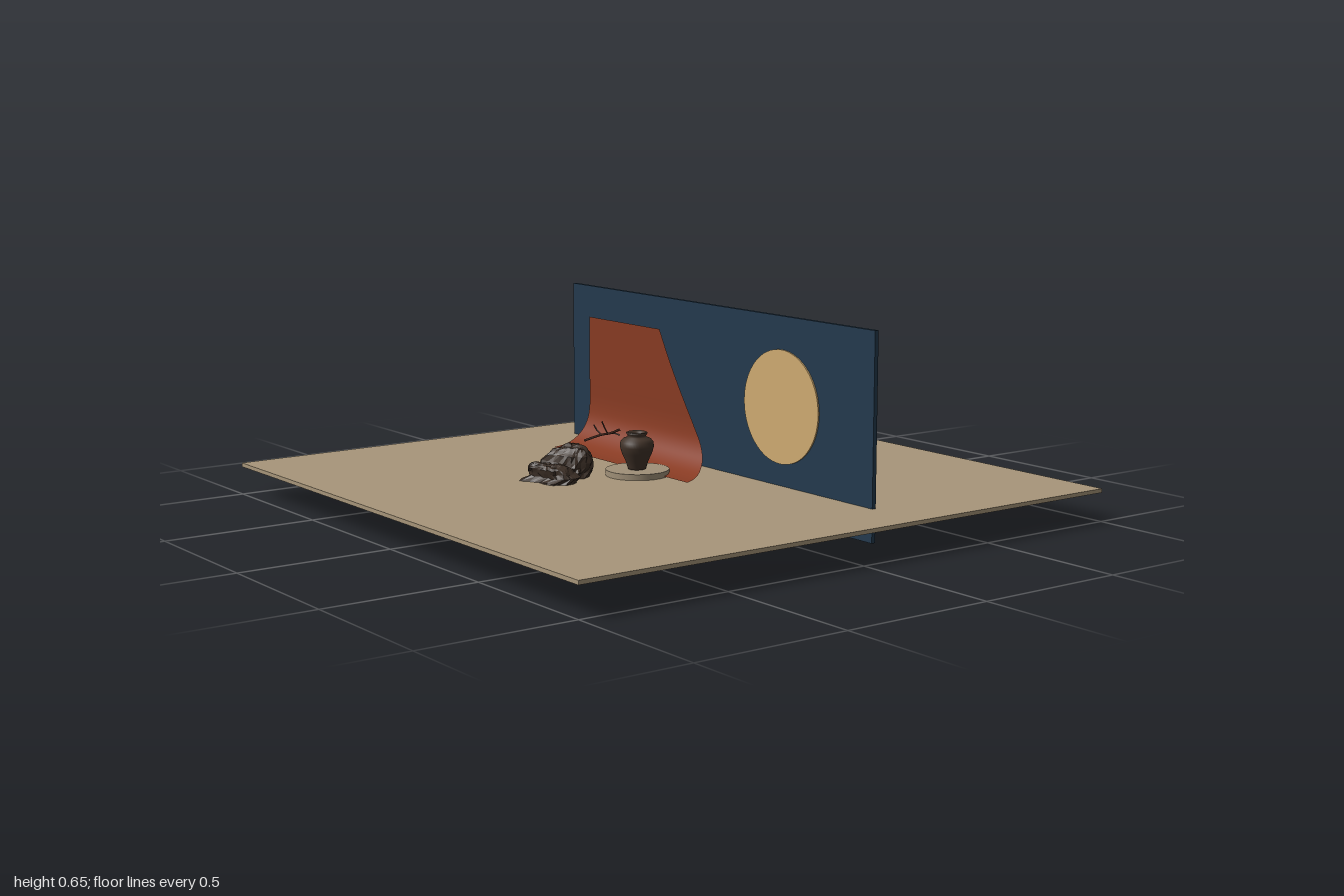
import * as THREE from 'three';

const V = (x, y, z) => new THREE.Vector3(x, y, z);

function material(name, color, extra = {}) {
  const m = new THREE.MeshStandardMaterial({ color, ...extra });
  m.name = name;
  return m;
}

// Smooth repeatable bumpiness, roughly -1..1
const bump = (x, y, z) =>
  0.5 * Math.sin(47 * x + 31 * y + 1) * Math.cos(53 * z - 23 * y) +
  0.3 * Math.sin(131 * x - 97 * z + 71 * y) +
  0.2 * Math.sin(211 * y + 173 * z + 2);

// Craggy rock: an outline [x, z] stacked in levels [y, scale, shiftX, shiftZ]
function rockGeometry(outline, levels, cx, cz) {
  const sides = 32, rings = 14;
  const ring = new THREE.CatmullRomCurve3(outline.map(([x, z]) => V(x - cx, 0, z - cz)), true, 'centripetal');
  const rise = new THREE.CatmullRomCurve3(levels.map(([y, s]) => V(s, y, 0)));
  const shift = new THREE.CatmullRomCurve3(levels.map(([, , sx, sz]) => V(sx, 0, sz)));
  const pos = [], index = [];
  for (let j = 0; j <= rings; j++) {
    const t = j / rings, r = rise.getPoint(t), s = shift.getPoint(t);
    for (let i = 0; i < sides; i++) {
      const p = ring.getPoint(i / sides);
      const x = cx + p.x * r.x + s.x, z = cz + p.z * r.x + s.z;
      const k = 1 + 0.16 * bump(x, r.y, z);
      pos.push(cx + s.x + (x - cx - s.x) * k, r.y + 0.012 * t * bump(z, x, r.y), cz + s.z + (z - cz - s.z) * k);
      if (j < rings) {
        const a = j * sides + i, b = j * sides + (i + 1) % sides;
        index.push(a, a + sides, b, b, a + sides, b + sides);
      }
    }
  }
  // Close bottom and top
  const base = pos.length / 3, last = levels[levels.length - 1];
  pos.push(cx + levels[0][2], levels[0][0], cz + levels[0][3], cx + last[2], last[0], cz + last[3]);
  for (let i = 0; i < sides; i++) {
    const n = (i + 1) % sides, top = rings * sides;
    index.push(base, i, n, base + 1, top + n, top + i);
  }
  const g = new THREE.BufferGeometry();
  g.setAttribute('position', new THREE.Float32BufferAttribute(pos, 3));
  g.setIndex(index);
  g.computeVertexNormals();
  return g;
}

export function createModel() {
  const group = new THREE.Group();
  const sand = material('sand', 0xa8967a);
  const stone = material('plate stone', 0xa09078);
  const navy = material('navy', 0x243a4e);
  const gold = material('gold', 0xcfab72);
  const rust = material('rust cloth', 0x883b23, { side: THREE.DoubleSide });
  const clay = material('dark clay', 0x42342a, { side: THREE.DoubleSide });
  const rock = material('rock', 0x3c2f26, { flatShading: true, side: THREE.DoubleSide });
  const bark = material('bark', 0x3a2118);

  const add = (name, geometry, mat, x = 0, y = 0, z = 0) => {
    const mesh = new THREE.Mesh(geometry, mat);
    mesh.name = name;
    mesh.position.set(x, y, z);
    group.add(mesh);
    return mesh;
  };

  add('floor', new THREE.BoxGeometry(2, 0.013, 2), sand, 0, 0.1, 0);
  add('backWall', new THREE.BoxGeometry(1.6, 0.65, 0.014), navy, 0, 0.325, -0.216);
  add('goldDisc', new THREE.CylinderGeometry(0.183, 0.183, 0.006, 64), gold, 0.367, 0.361, -0.207)
    .rotation.x = Math.PI / 2;

  // Draped cloth: each row is [right edge x, y, z], from top to floor
  const edge = new THREE.CatmullRomCurve3([
    [-0.19, 0.555, -0.14], [-0.13, 0.45, -0.14], [-0.065, 0.35, -0.14], [0.005, 0.25, -0.14],
    [0.05, 0.2, -0.131], [0.09, 0.16, -0.108], [0.125, 0.13, -0.07], [0.15, 0.116, -0.03], [0.168, 0.111, 0.012],
  ].map((p) => V(...p)));
  const cloth = new THREE.PlaneGeometry(1, 1, 24, 48);
  const cp = cloth.attributes.position;
  for (let i = 0; i < cp.count; i++) {
    const u = cp.getX(i) + 0.5, p = edge.getPoint(0.5 - cp.getY(i));
    cp.setXYZ(i, -0.6 + u * (p.x + 0.6), p.y, p.z);
  }
  cloth.computeVertexNormals();
  add('drapedCloth', cloth, rust);

  add('roundPlate', new THREE.CylinderGeometry(0.104, 0.104, 0.02, 64), stone, -0.055, 0.116, 0.048);

  // Vase, outside from the foot up, then down inside the neck
  const profile = [
    [0, 0], [0.029, 0], [0.031, 0.006], [0.038, 0.028], [0.049, 0.052], [0.0555, 0.074], [0.054, 0.09],
    [0.045, 0.1], [0.032, 0.105], [0.029, 0.11], [0.034, 0.116], [0.035, 0.12], [0.031, 0.122],
    [0.023, 0.116], [0.022, 0.1], [0.035, 0.085], [0.03, 0.03], [0, 0.02],
  ].map(([r, y]) => new THREE.Vector2(r, y));
  add('vase', new THREE.LatheGeometry(profile, 40), clay, -0.055, 0.126, 0.05);

  // Bare branch with side twigs
  [
    [0.004, [-0.14, 0.245, 0.055], [-0.19, 0.225, 0.058], [-0.24, 0.212, 0.065], [-0.3, 0.187, 0.088]],
    [0.0025, [-0.235, 0.213, 0.064], [-0.255, 0.225, 0.068], [-0.272, 0.242, 0.07]],
    [0.0025, [-0.205, 0.22, 0.06], [-0.213, 0.238, 0.066], [-0.225, 0.26, 0.07]],
    [0.0025, [-0.185, 0.226, 0.058], [-0.165, 0.226, 0.054], [-0.15, 0.222, 0.05]],
  ].forEach(([r, ...pts], i) => add(i ? 'twig' : 'branch',
    new THREE.TubeGeometry(new THREE.CatmullRomCurve3(pts.map((p) => V(...p))), 16, r, 6), bark));

  // Two rocks sunk through the floor
  add('rearRock', rockGeometry(
    [[-0.265, 0.18], [-0.2, 0.168], [-0.115, 0.185], [-0.105, 0.245], [-0.15, 0.285], [-0.235, 0.305], [-0.23, 0.25]],
    [[0.07, 0.45, 0, 0], [0.085, 0.85, 0, 0], [0.12, 1, 0, 0], [0.155, 0.97, 0, -0.004], [0.185, 0.75, 0, -0.012],
      [0.2, 0.5, 0, -0.015], [0.2, 0.25, 0, -0.015]], -0.18, 0.235), rock);
  add('frontRock', rockGeometry(
    [[-0.215, 0.295], [-0.15, 0.3], [-0.09, 0.275], [-0.04, 0.325], [-0.065, 0.37], [-0.13, 0.385], [-0.2, 0.405]],
    [[0.045, 0.6, -0.02, 0.015], [0.05, 0.98, -0.02, 0.015], [0.08, 1.05, -0.014, 0.01], [0.11, 1, 0, 0],
      [0.14, 0.85, 0, 0], [0.16, 0.6, 0, 0.004], [0.162, 0.3, 0, 0.008]], -0.13, 0.338), rock);

  return group;
}
